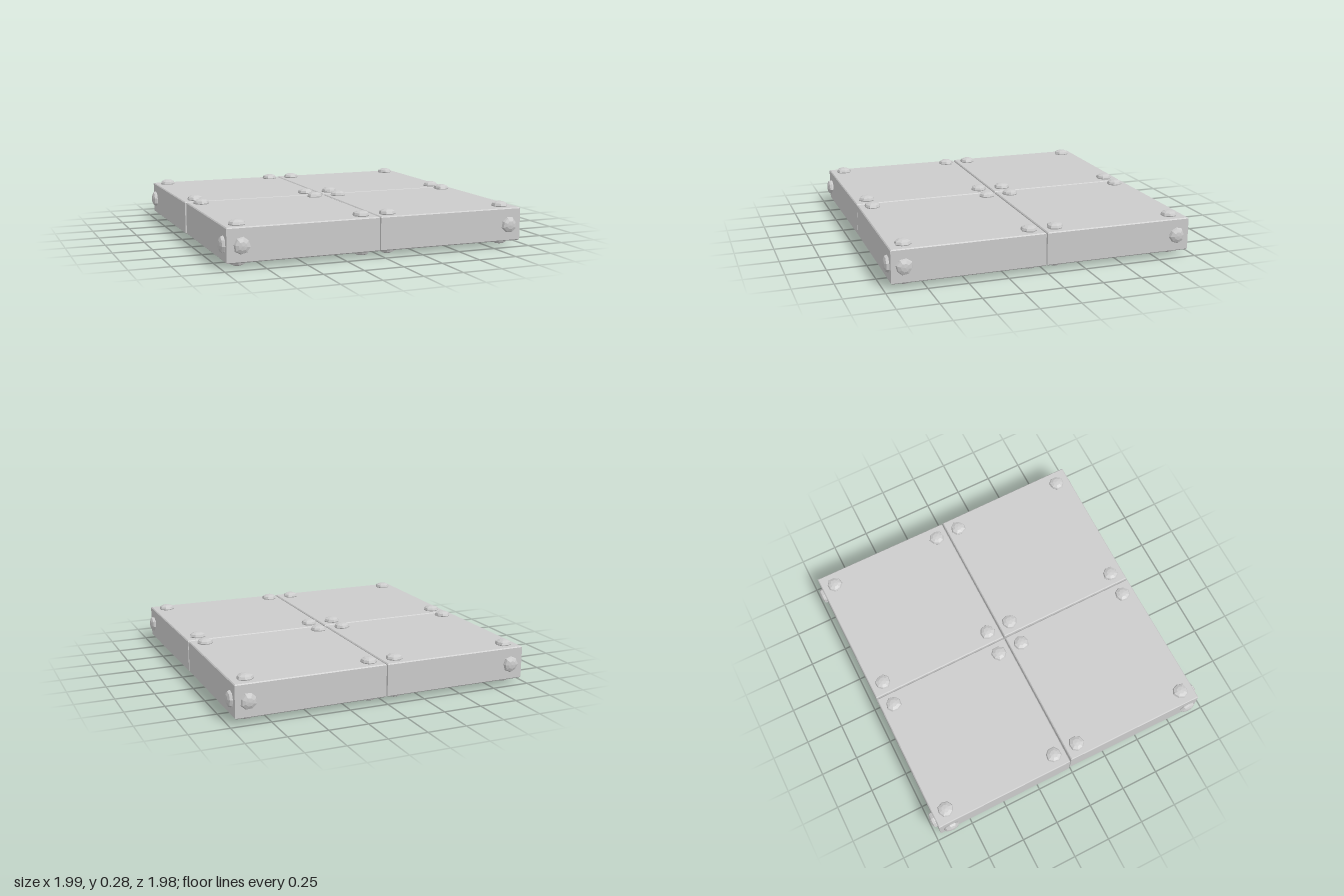
import * as THREE from 'three';

const material = new THREE.MeshStandardMaterial({ color: 0xcccccc });
const rivetMaterial = new THREE.MeshStandardMaterial({ color: 0xcccccc, flatShading: true });
const BOTTOM = 0.036, TOP = 0.247, BEVEL = 0.006;

// Slab with slightly chamfered edges over four [x, z] corners
function plate(name, corners) {
  const shape = new THREE.Shape(corners.map(([x, z]) => new THREE.Vector2(x, -z)));
  const geometry = new THREE.ExtrudeGeometry(shape, {
    depth: TOP - BOTTOM - 2 * BEVEL, bevelEnabled: true, bevelSegments: 1,
    bevelSize: BEVEL, bevelThickness: BEVEL, bevelOffset: -BEVEL,
  });
  geometry.rotateX(-Math.PI / 2).translate(0, BOTTOM + BEVEL, 0);
  const mesh = new THREE.Mesh(geometry, material);
  mesh.name = name;
  return mesh;
}

// Hammered dome, slightly out of round, pointing along the given direction
function rivet(name, position, direction, seed) {
  const profile = [[0.045, -0.012], [0.052, 0.006], [0.046, 0.02], [0.026, 0.029], [0, 0.032]]
    .map(([r, y]) => new THREE.Vector2(r, y));
  const geometry = new THREE.LatheGeometry(profile, 8);
  const p = geometry.attributes.position;
  for (let i = 0; i < p.count; i++) {
    const angle = Math.atan2(p.getZ(i), p.getX(i));
    const wobble = 1 + 0.05 * Math.sin(3 * angle + seed * 1.7);
    p.setXYZ(i, p.getX(i) * wobble, p.getY(i), p.getZ(i) * wobble);
  }
  geometry.rotateY(seed * 0.9);
  geometry.computeVertexNormals();
  const mesh = new THREE.Mesh(geometry, rivetMaterial);
  mesh.name = name;
  mesh.position.set(...position);
  mesh.quaternion.setFromUnitVectors(new THREE.Vector3(0, 1, 0), new THREE.Vector3(...direction));
  return mesh;
}

export function createModel() {
  const model = new THREE.Group();
  model.name = 'rivetedPanel';

  // Four slabs separated by thin seams
  model.add(
    plate('backRightPlate', [[-0.972, -0.965], [-0.972, -0.016], [-0.014, -0.013], [-0.016, -0.962]]),
    plate('backLeftPlate', [[-0.008, -0.962], [-0.006, -0.013], [0.954, -0.014], [0.96, -0.967]]),
    plate('frontRightPlate', [[-0.966, -0.006], [-0.974, 0.949], [-0.013, 0.946], [-0.014, -0.005]]),
    plate('frontLeftPlate', [[-0.004, -0.004], [-0.006, 0.946], [0.959, 0.957], [0.956, -0.006]]),
  );

  // Rivets near every plate corner, above and below
  const rivets = new THREE.Group();
  rivets.name = 'rivets';
  let seed = 1;
  for (const x of [-0.885, -0.1, 0.072, 0.866]) {
    for (const z of [-0.876, -0.094, 0.074, 0.86]) {
      rivets.add(rivet('topRivet', [x, TOP, z], [0, 1, 0], seed++));
      rivets.add(rivet('bottomRivet', [x, BOTTOM, z], [0, -1, 0], seed++));
    }
  }

  // Two rivets at the ends of every side
  for (const end of [-0.885, 0.878]) {
    rivets.add(rivet('frontRivet', [end, 0.14, 0.953], [0, 0, 1], seed++));
    rivets.add(rivet('backRivet', [end, 0.14, -0.965], [0, 0, -1], seed++));
    rivets.add(rivet('leftRivet', [0.957, 0.14, end], [1, 0, 0], seed++));
    rivets.add(rivet('rightRivet', [-0.972, 0.14, end], [-1, 0, 0], seed++));
  }
  model.add(rivets);
  return model;
}
